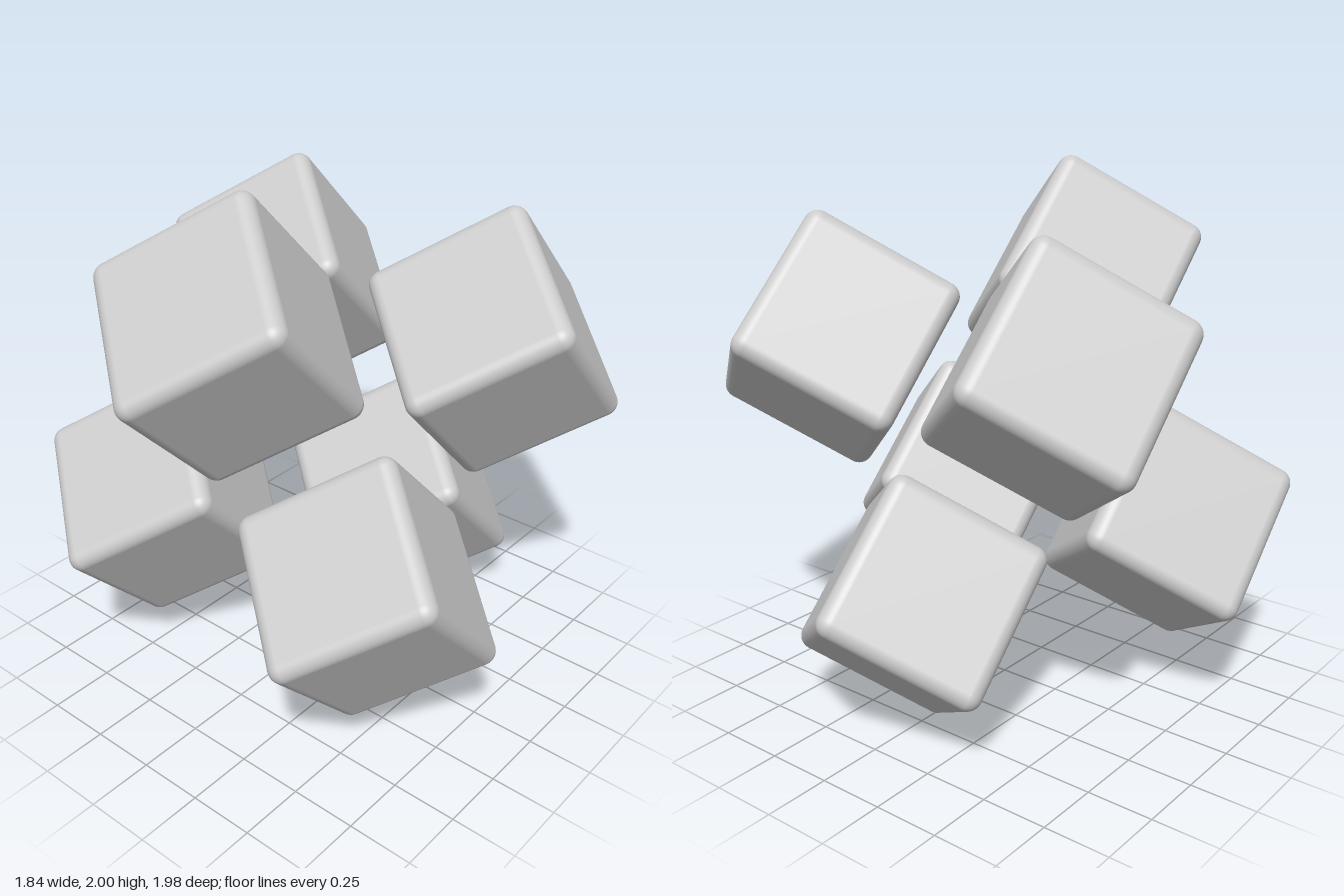
import * as THREE from 'three';
import { RoundedBoxGeometry } from 'three/addons/geometries/RoundedBoxGeometry.js';

const SIZE = 0.624;   // cube edge length
const RADIUS = 0.053; // edge rounding
const OFFSET = 0.706; // cube centre to cluster centre
const TILT = THREE.MathUtils.degToRad(44.1);

export function createModel() {
  const model = new THREE.Group();
  model.name = 'cubeCluster';

  const material = new THREE.MeshStandardMaterial({ color: 0xcccccc });
  const geometry = new RoundedBoxGeometry(SIZE, SIZE, SIZE, 5, RADIUS);

  // The whole cluster is turned onto its corner and tipped forward
  const cluster = new THREE.Group();
  cluster.name = 'tiltedCluster';
  cluster.rotation.set(TILT, Math.PI / 4, 0);
  cluster.position.y = 1;
  model.add(cluster);

  // One rounded cube at each end of the three axes
  for (const axis of ['x', 'y', 'z']) {
    for (const sign of [1, -1]) {
      const cube = new THREE.Mesh(geometry, material);
      cube.name = `${axis}${sign > 0 ? 'Positive' : 'Negative'}Cube`;
      cube.position[axis] = sign * OFFSET;
      cluster.add(cube);
    }
  }

  return model;
}
